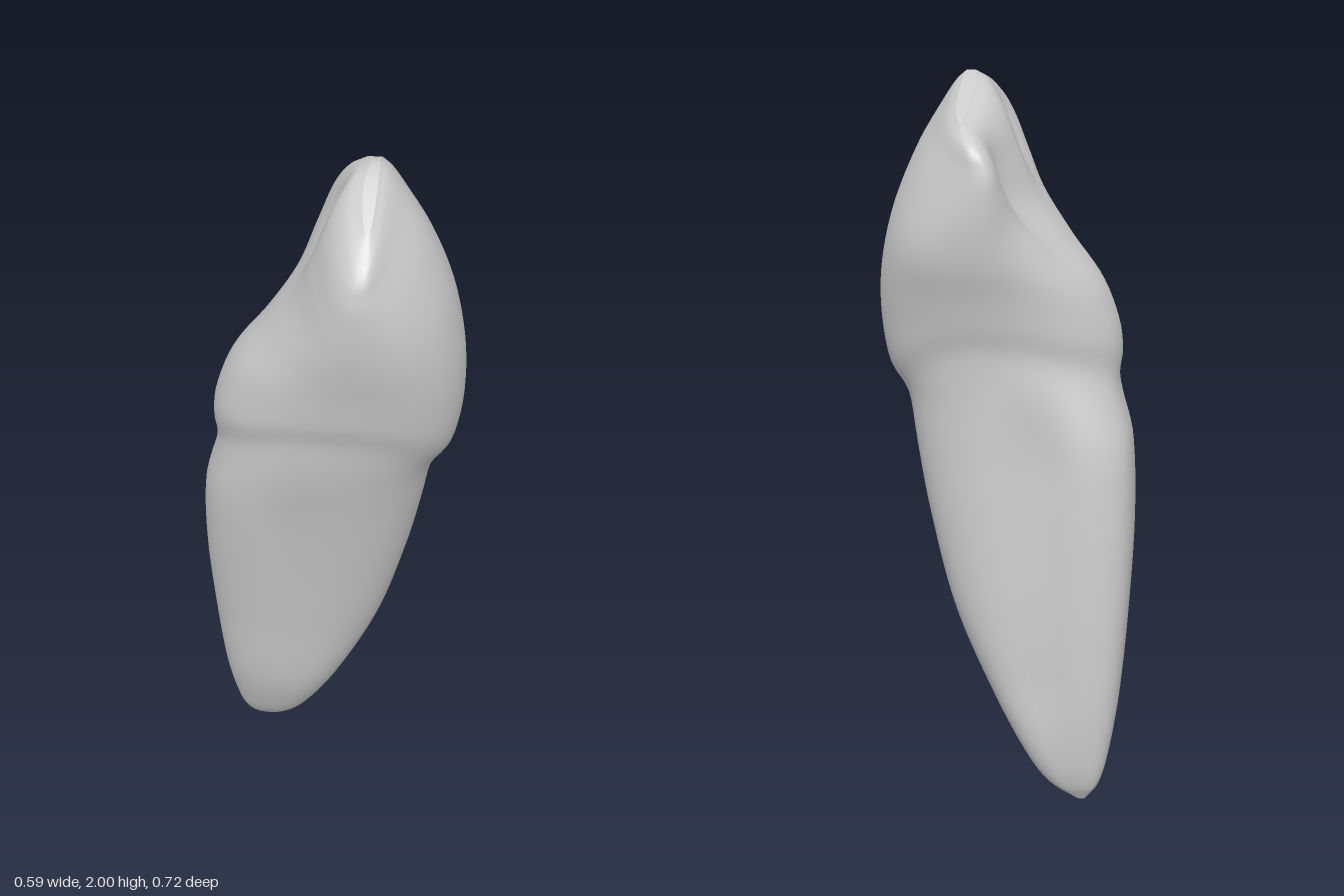
import * as THREE from 'three';

// Cross-sections: height, side min/max (s), tongue-side/lip-side extent (n), n of the widest point
const SECTIONS = [
  [0.00, 0.130, 0.155, -0.245, -0.215, -0.23],
  [0.05, 0.070, 0.182, -0.280, -0.135, -0.20],
  [0.13, 0.015, 0.200, -0.303, -0.070, -0.17],
  [0.30, -0.055, 0.212, -0.328, 0.025, -0.12],
  [0.55, -0.105, 0.208, -0.346, 0.137, -0.08],
  [0.82, -0.160, 0.194, -0.354, 0.211, -0.05],
  [1.04, -0.208, 0.180, -0.342, 0.256, -0.02],
  [1.15, -0.235, 0.174, -0.317, 0.282, 0.00],
  [1.25, -0.258, 0.174, -0.300, 0.322, 0.03],
  [1.35, -0.277, 0.182, -0.291, 0.344, 0.06],
  [1.46, -0.299, 0.205, -0.250, 0.346, 0.08],
  [1.58, -0.320, 0.233, -0.160, 0.329, 0.09],
  [1.70, -0.335, 0.247, -0.085, 0.297, 0.09],
  [1.83, -0.343, 0.250, -0.035, 0.241, 0.09],
  [1.93, -0.340, 0.244, 0.006, 0.180, 0.09],
  [1.98, -0.318, 0.224, 0.045, 0.145, 0.10],
  [2.00, -0.255, 0.165, 0.085, 0.122, 0.105],
];
const RINGS = 120, SEGS = 96;
const gauss = (d, w) => Math.exp(-(d * d) / (w * w));
const { smoothstep: smooth, lerp } = THREE.MathUtils;

// Smooth (Hermite) interpolation of the section table
function sectionAt(h) {
  const last = SECTIONS.length - 1;
  let i = 0;
  while (i < last - 1 && h > SECTIONS[i + 1][0]) i++;
  const a = SECTIONS[i], b = SECTIONS[i + 1], d = b[0] - a[0], t = (h - a[0]) / d;
  const slope = (k, c) => {
    const p = SECTIONS[Math.max(k - 1, 0)], q = SECTIONS[Math.min(k + 1, last)];
    return (q[c] - p[c]) / (q[0] - p[0]);
  };
  return a.map((_, c) =>
    (2 * t ** 3 - 3 * t * t + 1) * a[c] + (t ** 3 - 2 * t * t + t) * d * slope(i, c) +
    (3 * t * t - 2 * t ** 3) * b[c] + (t ** 3 - t * t) * d * slope(i + 1, c));
}

// Height of the gum line around the tooth: low at lip and tongue, high at the sides
const gumLine = (a) => 1.21 + 0.13 * Math.cos(a) ** 2 - 0.025 * Math.sin(a);

// The biting edge falls away on both sides of the cusp
function edgeDrop(s) {
  const d = s + 0.09;
  return (d < 0 ? 0.80 : 0.50) * (Math.sqrt(d * d + 0.0025) - 0.05);
}

// Squareness of the outline: the root has a blunt corner at the back of one side,
// and the marginal ridges square off the tongue side of the crown
function squareness(h, c, sn) {
  if (sn > 0) return 2.3;
  const root = c > 0 ? 3.8 : 2.4;
  return lerp(lerp(root, 2.1, smooth(h, 0.95, 1.3)), 2.7, smooth(h, 1.4, 1.75));
}

function surfacePoint(h, a) {
  const [, s0, s1, n0, n1, nMid] = sectionAt(h);
  const c = Math.cos(a), sn = Math.sin(a);
  const e = 2 / squareness(h, c, sn);
  let s = (s0 + s1) / 2 + (s1 - s0) / 2 * Math.sign(c) * Math.abs(c) ** e;
  let n = nMid + (sn > 0 ? n1 - nMid : nMid - n0) * Math.sign(sn) * Math.abs(sn) ** e;

  // soft step at the gum line, fainter on the sides
  const g = h - gumLine(a);
  const step = 0.01 * Math.tanh(g / 0.03) * gauss(g, 0.12);
  s += c * step * 0.5;
  n += sn * step;

  // shallow lengthwise grooves on the sides of the root
  const root = smooth(h, 0.12, 0.4) * (1 - smooth(h, 0.95, 1.25));
  s -= c * (c > 0 ? 0.02 : 0.006) * root * gauss(n + 0.1, 0.09);

  // two hollows beside the central ridge on the tongue side
  if (sn < 0) {
    const lean = 0.105 + 0.25 * (h - 1.78);
    n -= sn * 0.045 * gauss(h - 1.77, 0.2) * gauss(s - lean, 0.055);
    n -= sn * 0.045 * gauss(h - 1.86, 0.13) * gauss(s + 0.09, 0.05);
  }

  // the biting edge curls towards the tongue at one end
  n -= 1.8 * Math.max(s - 0.08, 0) ** 2 * smooth(h, 1.6, 1.95);

  const y = h - edgeDrop(s) * smooth(h, 1.25, 2.1) * 1.1;
  return [0.79 * s + 0.62 * n, y, -0.62 * s + 0.79 * n];
}

export function createModel() {
  const pos = [], root = [], crown = [];
  for (let i = 0; i <= RINGS; i++) {
    const h = 1 - Math.cos(Math.PI * i / RINGS);
    for (let j = 0; j < SEGS; j++) {
      const a = j / SEGS * Math.PI * 2;
      pos.push(...surfacePoint(h, a));
      if (i === RINGS) continue;
      const k = i * SEGS + j, m = i * SEGS + (j + 1) % SEGS;
      (h < gumLine(a) ? root : crown).push(k, k + SEGS, m, m, k + SEGS, m + SEGS);
    }
  }

  // close the root tip with a fan
  const tip = pos.length / 3, top = RINGS * SEGS;
  pos.push(-0.032, 0, -0.27);
  for (let j = 0; j < SEGS; j++) root.push(tip, j, (j + 1) % SEGS);

  // close the biting edge with strips across its width
  for (let j = 0; j < SEGS / 2; j++) {
    const p = top + j, q = top + j + 1;
    const r = top + (SEGS - j) % SEGS, t = top + SEGS - j - 1;
    crown.push(p, r, q, q, r, t);
  }

  // shared normals keep the join between crown and root smooth
  const whole = new THREE.BufferGeometry();
  whole.setAttribute('position', new THREE.Float32BufferAttribute(pos, 3));
  whole.setIndex([...root, ...crown]);
  whole.computeVertexNormals();

  const group = new THREE.Group();
  group.name = 'tooth';
  const material = new THREE.MeshStandardMaterial({ color: 0xcccccc });
  for (const [name, index] of [['root', root], ['crown', crown]]) {
    const geometry = whole.clone();
    geometry.setIndex(index);
    const mesh = new THREE.Mesh(geometry, material);
    mesh.name = name;
    group.add(mesh);
  }
  return group;
}
